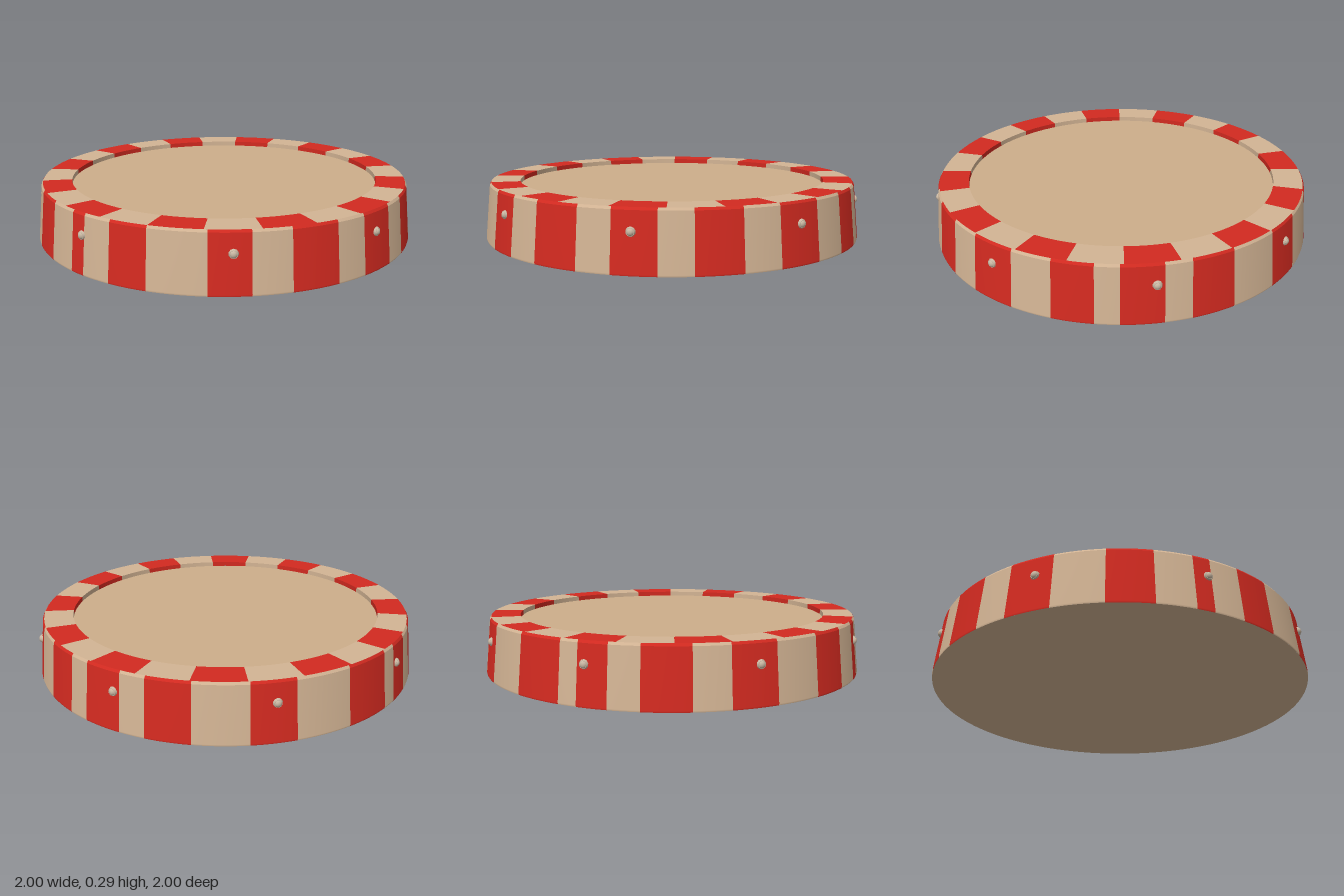
import * as THREE from 'three';

const mat = (name, color, side = THREE.FrontSide) => {
  const m = new THREE.MeshStandardMaterial({ color, side });
  m.name = name;
  return m;
};

export function createModel() {
  const group = new THREE.Group();
  group.name = 'stripedRoundPlatform';
  const red = mat('red', 0xd32a20);
  const cream = mat('cream', 0xd3b494);
  const tan = mat('tan', 0xcdae8a);
  const stud = mat('studStone', 0xc8b7a2);

  const add = (name, geometry, material, parent = group) => {
    const mesh = new THREE.Mesh(geometry, material);
    mesh.name = name;
    parent.add(mesh);
    return mesh;
  };

  // Revolved wedge between two angles in degrees, measured from +z towards +x
  const wedge = (profile, from, to) => new THREE.LatheGeometry(
    profile.map(([r, y]) => new THREE.Vector2(r, y)),
    Math.max(2, Math.round((to - from) / 2)),
    THREE.MathUtils.degToRad(from), THREE.MathUtils.degToRad(to - from));

  const top = 0.295, floorY = 0.27, inner = 0.815;
  const sideProfile = [[0.998, 0], [1, 0.008], [0.973, 0.283]];
  const bevelProfile = [[0.973, 0.283], [0.965, top]];
  const ringProfile = [[0.965, top], [inner, top]];
  const lipProfile = [[inner, top], [inner, floorY]];

  // Hand-painted, slightly uneven red stripes round the side
  const sideStripes = [
    [-6.5, 4.7], [15.3, 28.8], [38.3, 50.3], [59.5, 72.3], [83, 96.5], [108.3, 119.8],
    [126.5, 138], [145.5, 158], [173, 185.3], [201.5, 216.5], [222, 230.5], [239, 252],
    [262, 275], [289, 301.5], [312.2, 317.2], [326.3, 337.5],
  ];
  sideStripes.forEach(([from, to], i) => {
    const next = i + 1 < sideStripes.length ? sideStripes[i + 1][0] : sideStripes[0][0] + 360;
    for (const profile of [sideProfile, bevelProfile]) {
      const part = profile === sideProfile ? 'side' : 'topEdge';
      add(part + 'RedStripe', wedge(profile, from, to), red);
      add(part + 'CreamStripe', wedge(profile, to, next), cream);
    }
  });

  // Raised rim with 24 regular blocks and its short inner lip
  for (let i = 0; i < 24; i++) {
    const from = i * 15 - 7.5;
    const colour = i % 2 ? red : cream;
    add('rimBlock', wedge(ringProfile, from, from + 15), colour);
    add('innerLip', wedge(lipProfile, from, from + 15), colour);
  }

  // Recessed floor and underside
  add('floor', new THREE.CircleGeometry(inner, 180).rotateX(-Math.PI / 2), tan).position.y = floorY;
  add('underside', new THREE.CircleGeometry(0.998, 180).rotateX(Math.PI / 2), cream);

  // Eight small studs round the side
  for (const angle of [0, 43.5, 90, 136, 180, 224, 270, 316.3]) {
    const holder = new THREE.Group();
    holder.name = 'stud';
    holder.rotation.y = THREE.MathUtils.degToRad(angle);
    group.add(holder);
    const collar = add('studCollar', new THREE.CylinderGeometry(0.019, 0.024, 0.012, 10).rotateX(Math.PI / 2), stud, holder);
    collar.position.set(0, 0.19, 0.985);
    const head = add('studHead', new THREE.SphereGeometry(0.018, 10, 8), stud, holder);
    head.position.set(0, 0.19, 0.986);
    head.scale.z = 0.75;
  }
  return group;
}
